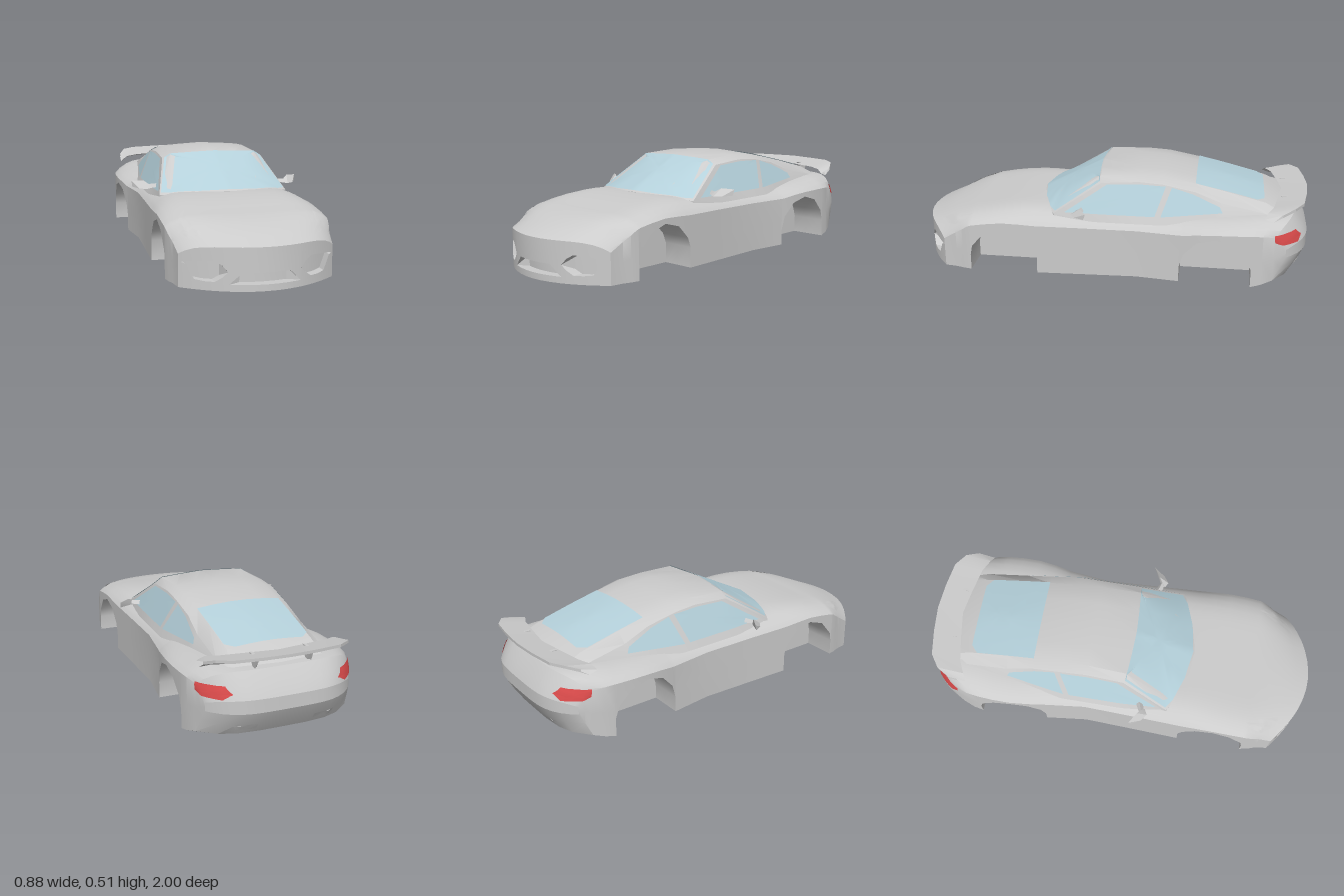
import * as THREE from 'three';
import { toCreasedNormals } from 'three/addons/utils/BufferGeometryUtils.js';
import { ConvexGeometry } from 'three/addons/geometries/ConvexGeometry.js';

const mat = (color) => new THREE.MeshStandardMaterial({ color, side: THREE.DoubleSide });
const GREY = mat(0xcccccc), GLASS = mat(0xb4d0da), RED = mat(0xd84a4a);

// Skin over rows of [x, y, z] points
function skin(rows, crease = 0.6) {
  const n = rows[0].length, index = [];
  for (let r = 0; r < rows.length - 1; r++) {
    for (let c = 0; c < n - 1; c++) {
      const a = r * n + c, b = a + n;
      index.push(a, b, a + 1, b, b + 1, a + 1);
    }
  }
  const g = new THREE.BufferGeometry();
  g.setAttribute('position', new THREE.Float32BufferAttribute(rows.flat(2), 3));
  g.setIndex(index);
  return toCreasedNormals(g, crease);
}

const flip = ([x, y, z]) => [-x, y, z];
// Half section ending on the centre line -> full section
const mirrored = (half) => [...half, ...half.slice(0, -1).reverse().map(flip)];

// Body stations: z, half width, lower edge of side, side top, centre top, floor
const stations = [
  [1, 0.36, 0, 0.15, 0.195], [0.93, 0.37, 0, 0.19, 0.225], [0.84, 0.382, 0, 0.215, 0.262],
  [0.74, 0.388, 0, 0.235, 0.283], [0.7, 0.39, 0, 0.24, 0.29], [0.7, 0.39, 0.08, 0.24, 0.29],
  [0.69, 0.39, 0.13, 0.243, 0.291], [0.62, 0.392, 0.21, 0.255, 0.305], [0.53, 0.392, 0.24, 0.265, 0.318],
  [0.44, 0.39, 0.215, 0.262, 0.328], [0.375, 0.388, 0.15, 0.258, 0.33], [0.355, 0.387, 0.1, 0.257, 0.33],
  [0.355, 0.387, 0, 0.257, 0.33], [0.15, 0.378, 0, 0.255, 0.318], [-0.15, 0.366, 0, 0.25, 0.313],
  [-0.365, 0.39, 0, 0.25, 0.313], [-0.365, 0.39, 0.08, 0.25, 0.313], [-0.385, 0.394, 0.15, 0.252, 0.314],
  [-0.45, 0.405, 0.22, 0.262, 0.317], [-0.54, 0.415, 0.245, 0.27, 0.322], [-0.63, 0.415, 0.22, 0.272, 0.328],
  [-0.7, 0.41, 0.15, 0.272, 0.332], [-0.72, 0.408, 0.09, 0.272, 0.334], [-0.72, 0.408, 0, 0.272, 0.334],
  [-0.82, 0.4, 0.012, 0.27, 0.336, 0.012], [-0.93, 0.38, 0.03, 0.26, 0.328, 0.03],
  [-0.975, 0.37, 0.1, 0.225, 0.265, 0.1], [-1, 0.36, 0.15, 0.19, 0.215, 0.15],
];
const FRACTIONS = [1, 0.97, 0.93, 0.83, 0.72, 0.61, 0.53, 0.46, 0.455, 0.3, 0.15, 0];
const deckY = (f, side, top) => top - (top - side) * f ** 7;

// Rounded plan of nose and tail: outer points pulled towards the middle
function bowed(z, x) {
  if (z > 0.7) return z - 1.2 * x * x * Math.min(1, (z - 0.7) / 0.25);
  if (z < -0.75) return z + 8 * x ** 4 * Math.min(0.9, (-z - 0.75) * 3.4);
  return z;
}

function bodySection([z, w, a, side, top, floor = 0]) {
  const half = [[0, floor], [0.11, floor], [0.22, floor], [0.22, a], [0.3, a], [w, a], [w, (a + side) / 2]];
  FRACTIONS.forEach((f) => half.push([w * f, deckY(f, side, top)]));
  return mirrored(half.map(([x, y]) => [x, y, bowed(z, x)]));
}

// Nose face with recessed grille and corner intakes: column x, opening bottom, opening top
function noseFace() {
  const columns = [[0, 0.03, 0.083], [0.054, 0.03, 0.083], [0.108, 0.03, 0.083], [0.1638, 0.03, 0.03],
    [0.1656, 0.085, 0.085], [0.1908, 0.06, 0.115], [0.2196, 0.04, 0.133], [0.2592, 0.04, 0.13],
    [0.2988, 0.045, 0.125], [0.3348, 0.11, 0.12], [0.3492, 0.115, 0.115], [0.36, 0.115, 0.115]];
  const column = ([x, lo, hi]) => {
    const z = bowed(1, x), back = z - (hi - lo > 0.001 ? 0.05 : 0), top = deckY(x / 0.36, 0.15, 0.195);
    return [[x, 0, z], [x, lo, z], [x, lo, back], [x, hi, back], [x, hi, z], [x, (hi + top) / 2, z], [x, top, z]];
  };
  const right = columns.map(column);
  return skin([...right.slice(1).reverse().map((c) => c.map(flip)), ...right]);
}

function tailFace() {
  const xs = [...FRACTIONS, ...FRACTIONS.slice(0, -1).reverse().map((f) => -f)];
  return skin(xs.map((f) => [0.15, deckY(Math.abs(f), 0.19, 0.215)].map((y) => [0.36 * f, y, bowed(-1, 0.36 * f)])));
}

// Side plane of the cabin, narrowing behind the door pillar
const sideX = (y, z) => 0.335 - 0.45 * (y - 0.31) - 0.12 * Math.max(0, -0.27 - z);

function cabin() {
  const base = [[0.335, 0.28, 0.27], [0.33, 0.308, 0.275], [0.28, 0.314, 0.305], [0.15, 0.325, 0.352], [0, 0.332, 0.375]];
  // z, roof edge height, upper corner x and y, centre height
  const rows = [[0.04, 0.46, 0.225, 0.485, 0.495], [-0.15, 0.472, 0.218, 0.494, 0.507],
    [-0.27, 0.465, 0.215, 0.488, 0.502], [-0.43, 0.432, 0.212, 0.459, 0.474],
    [-0.57, 0.38, 0.212, 0.427, 0.442], [-0.78, 0.335, 0.21, 0.374, 0.388], [-0.91, 0.305, 0.22, 0.315, 0.325]];
  const sections = rows.map(([z, edge, x, y, top], i) => {
    const bow = i === 0 ? 0.02 : 0;
    return [[sideX(0.28, z), 0.28, z], [sideX(edge, z), edge, z], [x, y, z + bow / 3],
      [0.12, y + (top - y) * 0.55, z + bow * 0.7], [0, top, z + bow]];
  });
  const cowl = base.map(([x, y, z]) => [x, y - 0.04, z]);
  return skin([cowl, base, ...sections].map(mirrored), 0.45);
}

// Panel that follows the shell: an outline is cast along one axis onto the targets
function panel(targets, outline, axis, sign, lift = 0.005) {
  const ray = new THREE.Raycaster(), u = (axis + 1) % 3, v = (axis + 2) % 3;
  const mid = [0, 1].map((k) => outline.reduce((s, p) => s + p[k], 0) / outline.length);
  const rim = [];
  outline.forEach((p, i) => {
    const q = outline[(i + 1) % outline.length];
    for (let k = 0; k < 5; k++) rim.push([0, 1].map((j) => p[j] + (q[j] - p[j]) * k / 5));
  });
  rim.push(rim[0]);
  const place = (a, b) => {
    const from = [0, 0, 0], dir = [0, 0, 0];
    from[axis] = 2 * sign; from[u] = a; from[v] = b; dir[axis] = -sign;
    ray.set(new THREE.Vector3(...from), new THREE.Vector3(...dir));
    const hit = ray.intersectObjects(targets)[0];
    from[axis] = (hit ? hit.point.getComponent(axis) : 0.28 * sign) + sign * lift;
    return from;
  };
  const rings = [1, 0.75, 0.5, 0.25, 0].map((t) =>
    rim.map(([a, b]) => place(mid[0] + (a - mid[0]) * t, mid[1] + (b - mid[1]) * t)));
  return skin(rings);
}

// Wing stations: x, front z, rear z, front y, rear y
function wing() {
  const half = [[0.358, -0.775, -0.86, 0.345, 0.372], [0.325, -0.79, -0.92, 0.366, 0.395],
    [0.26, -0.82, -0.965, 0.372, 0.4], [0.13, -0.845, -0.985, 0.376, 0.402], [0, -0.865, -0.995, 0.378, 0.404]];
  const all = [...half, ...half.slice(0, -1).reverse().map(([x, ...r]) => [-x, ...r])];
  return skin(all.map(([x, zf, zr, yf, yr]) => [[x, yf, zf], [x, yr, zr], [x, yr - 0.014, zr],
    [x, yf - 0.014, (zf + zr) / 2], [x, yf, zf]]), 0.4);
}

export function createModel() {
  const car = new THREE.Group();
  car.name = 'sportsCar';
  const add = (name, geometry, material = GREY) => {
    const mesh = new THREE.Mesh(geometry, material);
    mesh.name = name;
    car.add(mesh);
    return mesh;
  };

  // Shell
  const body = add('body', skin(stations.map((s) => { const p = bodySection(s); return [...p, p[0]]; })));
  const nose = add('noseWithIntakes', noseFace());
  const tail = add('tailFace', tailFace());
  const roof = add('cabin', cabin());
  const shell = [body, nose, tail, roof];
  shell.forEach((m) => m.updateMatrixWorld());

  // Windscreen and rear window, outlines as [z, x]
  const sym = (pts) => [...pts, ...pts.slice().reverse().filter((p) => p[1] !== 0).map(([z, x]) => [z, -x])];
  add('windscreen', panel(shell, sym([[0.368, 0], [0.344, 0.15], [0.3, 0.275], [0.268, 0.32], [0.048, 0.258],
    [0.052, 0.22], [0.06, 0.11], [0.065, 0]]), 1, 1, 0.004), GLASS);
  add('rearWindow', panel(shell, sym([[-0.43, 0.215], [-0.74, 0.21], [-0.775, 0.17]]), 1, 1, 0.004), GLASS);

  for (const s of [1, -1]) {
    const side = s > 0 ? 'left' : 'right';
    const sidePanel = (name, pts, m, lift) => add(side + name, panel(shell, pts, 0, s, lift), m);
    const facePanel = (name, pts, dir, lift) =>
      add(side + name, panel(shell, pts.map(([x, y]) => [x * s, y]), 2, dir, lift));

    // Side glass and tail lamp, outlines as [y, z]
    sidePanel('DoorWindow', [[0.318, 0.22], [0.455, 0.01], [0.463, -0.15], [0.458, -0.285], [0.318, -0.235]], GLASS, 0.004);
    sidePanel('QuarterWindow', [[0.318, -0.265], [0.453, -0.315], [0.423, -0.42], [0.365, -0.555], [0.338, -0.57]], GLASS, 0.004);
    sidePanel('TailLamp', [[0.27, -0.825], [0.235, -0.83], [0.218, -0.87], [0.215, -0.945], [0.24, -0.96], [0.272, -0.93]], RED, 0.006);

    // Headlamp with two small lenses, and rear vent
    facePanel('Headlamp', [[0.235, 0.215], [0.275, 0.262], [0.318, 0.28], [0.34, 0.265], [0.345, 0.225], [0.3, 0.212]], 1, 0.006);
    facePanel('OuterLens', [[0.305, 0.235], [0.305, 0.262], [0.33, 0.262], [0.335, 0.235]], 1, 0.012);
    facePanel('InnerLens', [[0.255, 0.225], [0.268, 0.245], [0.282, 0.245], [0.282, 0.225]], 1, 0.012);
    facePanel('RearVent', [[0.14, 0.055], [0.14, 0.085], [0.25, 0.085], [0.235, 0.055]], -1, 0.006);

    // Door mirror: wedge housing on a short stalk
    const hull = (pts) => {
      const g = new ConvexGeometry(pts.map(([x, y, z]) => new THREE.Vector3(x * s, y, z)));
      return toCreasedNormals(g, 0.5);
    };
    add(side + 'MirrorHousing', hull([[0.345, 0.328, 0.165], [0.36, 0.345, 0.15], [0.375, 0.325, 0.18], [0.41, 0.325, 0.155],
      [0.437, 0.327, 0.105], [0.44, 0.357, 0.095], [0.385, 0.362, 0.13], [0.365, 0.325, 0.14]]));
    add(side + 'MirrorStalk', hull([[0.31, 0.325, 0.11], [0.31, 0.325, 0.15], [0.31, 0.345, 0.13],
      [0.37, 0.33, 0.14], [0.37, 0.33, 0.165], [0.37, 0.345, 0.15]]));

    // Wing strut
    add(side + 'WingStrut', hull([-0.86, -0.94].flatMap((z) => [[0.125, 0.385, z], [0.14, 0.385, z],
      [0.125, 0.31, -0.895], [0.14, 0.31, -0.91]])));
  }

  add('rearWing', wing());
  return car;
}
